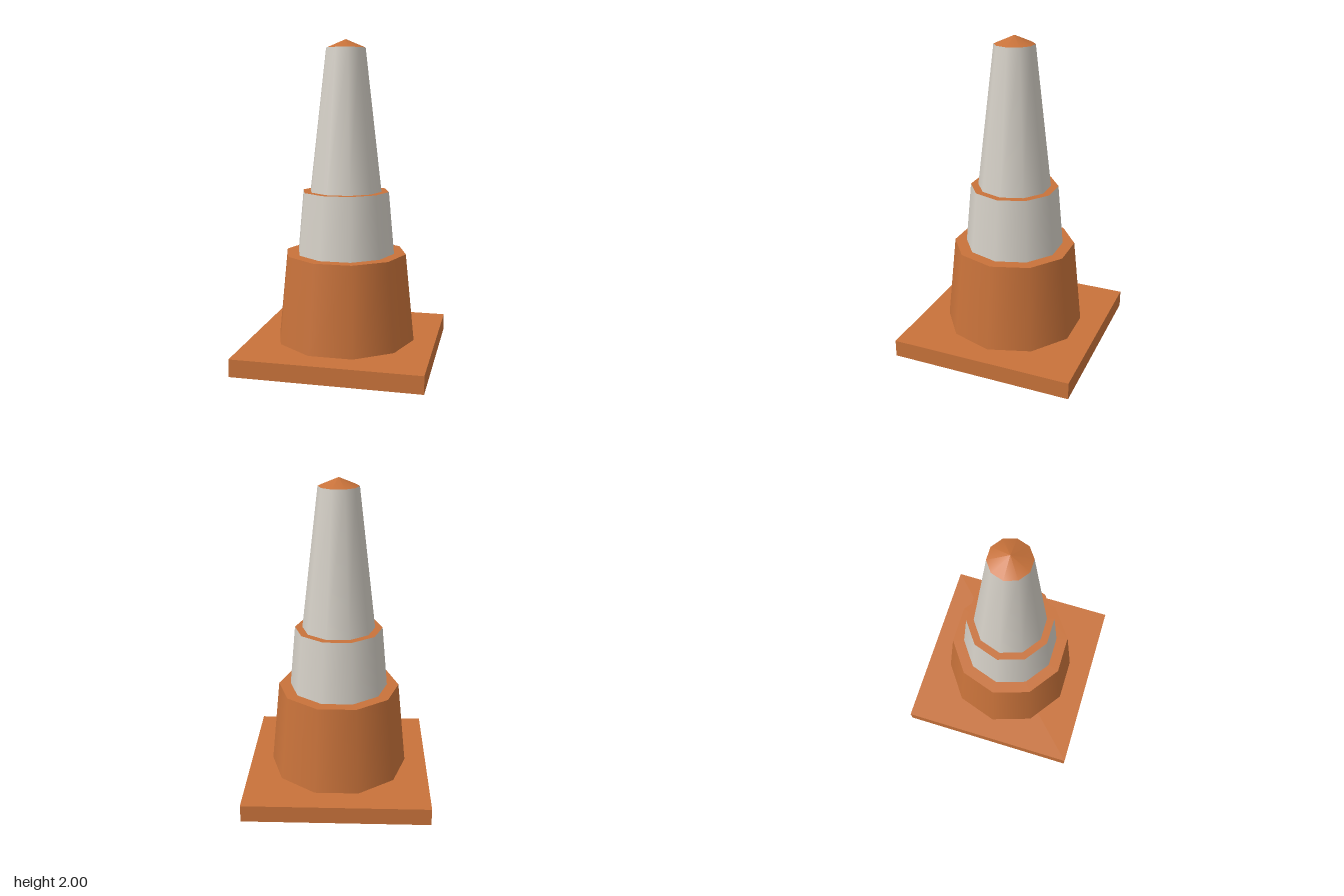
import * as THREE from 'three';

const SIDES = 10;

export function createModel() {
  const orange = new THREE.MeshStandardMaterial({ color: 0xc8723a, side: THREE.DoubleSide });
  orange.name = 'orange plastic';
  const grey = new THREE.MeshStandardMaterial({ color: 0xd4cfc6, side: THREE.DoubleSide });
  grey.name = 'pale reflective grey';

  const group = new THREE.Group();
  group.name = 'trafficCone';

  const add = (name, geometry, material, y) => {
    const mesh = new THREE.Mesh(geometry, material);
    mesh.name = name;
    mesh.position.y = y;
    group.add(mesh);
    return mesh;
  };

  // Tapered open sleeve with a corner on the x axis
  const sleeve = (name, rTop, rBottom, y0, y1, material) =>
    add(name, new THREE.CylinderGeometry(rTop, rBottom, y1 - y0, SIDES, 1, true, Math.PI / 2),
      material, (y0 + y1) / 2);

  // Flat step between two sleeves
  const ledge = (name, rInner, rOuter, y) => {
    const geometry = new THREE.RingGeometry(rInner, rOuter, SIDES, 1);
    geometry.rotateX(-Math.PI / 2);
    add(name, geometry, orange, y);
  };

  // Square base: a hollow tray with its underside open
  const baseHeight = 0.11;
  const base = new THREE.BoxGeometry(1.166, baseHeight, 1.166);
  const index = Array.from(base.index.array);
  index.splice(18, 6); // drop the bottom face
  base.setIndex(index);
  base.clearGroups();
  add('base', base, orange, baseHeight / 2);

  // Stepped body
  sleeve('lowerBody', 0.388, 0.445, baseHeight, 0.667, orange);
  ledge('lowerLedge', 0.313, 0.388, 0.667);
  sleeve('middleBand', 0.277, 0.313, 0.667, 1.06, grey);
  ledge('upperLedge', 0.23, 0.277, 1.06);
  sleeve('upperBand', 0.125, 0.23, 1.06, 1.948, grey);

  // Shallow pointed cap
  add('cap', new THREE.ConeGeometry(0.125, 0.052, SIDES, 1, true, Math.PI / 2), orange, 1.974);

  return group;
}
